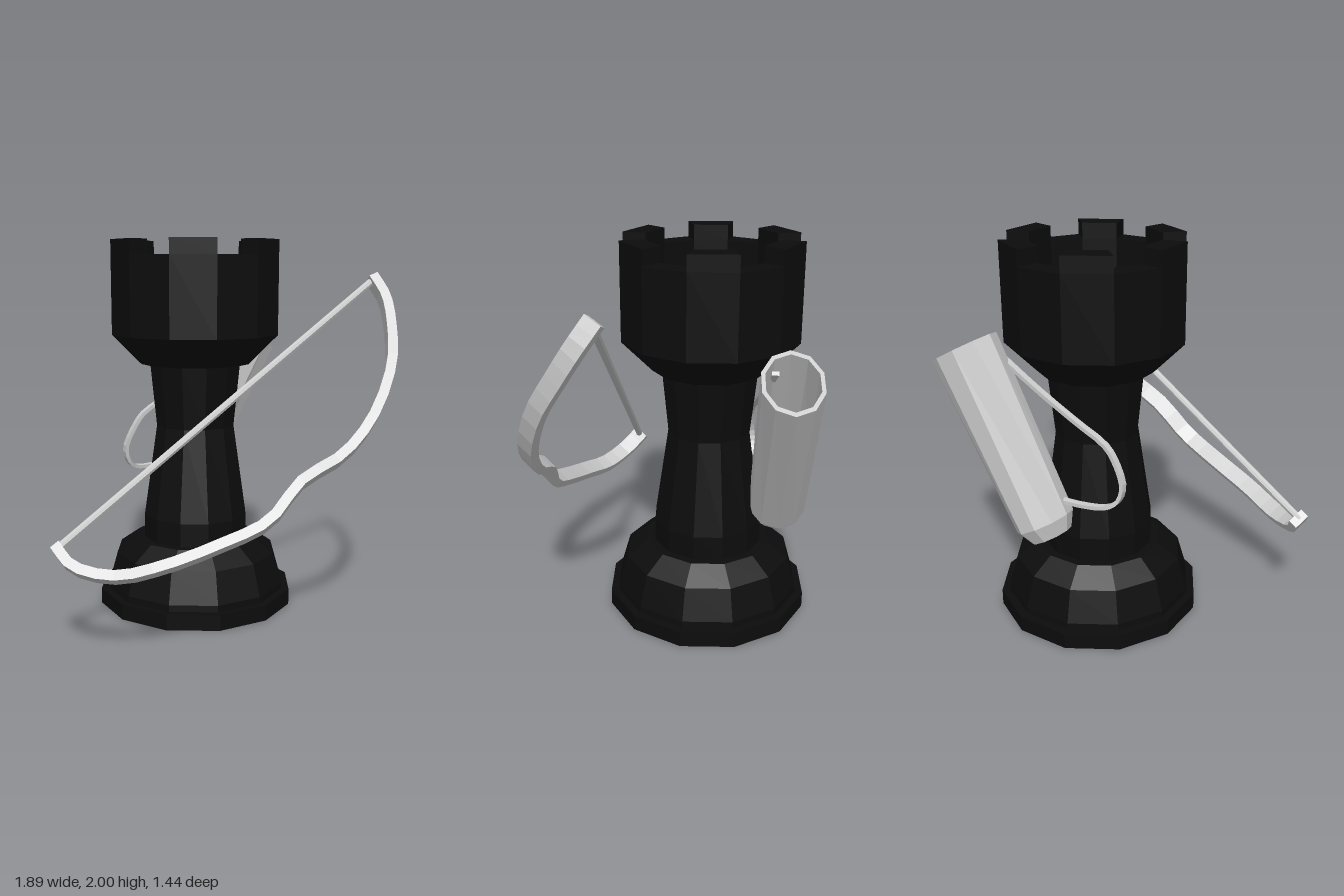
import * as THREE from 'three';

const V = (x, y, z) => new THREE.Vector3(x, y, z);

// Sweeps a rectangle along a smooth path; its width stays close to a fixed direction.
function sweepBar(points, steps, widthDir, width, thickness) {
  const curve = new THREE.CatmullRomCurve3(points.map(p => V(...p)));
  const pos = [], index = [];
  for (let i = 0; i <= steps; i++) {
    const c = curve.getPoint(i / steps), t = curve.getTangent(i / steps);
    const n = widthDir.clone().addScaledVector(t, -widthDir.dot(t)).normalize();
    const s = t.clone().cross(n);
    for (const [a, b] of [[1, 1], [-1, 1], [-1, -1], [1, -1]]) {
      const p = c.clone().addScaledVector(n, a * width / 2).addScaledVector(s, b * thickness / 2);
      pos.push(p.x, p.y, p.z);
    }
  }
  for (let i = 0; i < steps; i++) {
    for (let j = 0; j < 4; j++) {
      const a = i * 4 + j, b = i * 4 + (j + 1) % 4;
      index.push(a, b, b + 4, a, b + 4, a + 4);
    }
  }
  const e = steps * 4;
  index.push(0, 2, 1, 0, 3, 2, e, e + 1, e + 2, e, e + 2, e + 3);
  const g = new THREE.BufferGeometry();
  g.setAttribute('position', new THREE.Float32BufferAttribute(pos, 3));
  g.setIndex(index);
  g.computeVertexNormals();
  return g;
}

export function createModel() {
  const model = new THREE.Group();
  const black = new THREE.MeshStandardMaterial({ color: 0x0c0c0c, flatShading: true });
  const grey = new THREE.MeshStandardMaterial({ color: 0xcccccc, flatShading: true });
  const add = (parent, name, geometry, material) => {
    const m = new THREE.Mesh(geometry, material);
    m.name = name;
    parent.add(m);
    return m;
  };

  // Twelve-sided rook: radii are measured to the flats
  const rook = new THREE.Group();
  rook.name = 'rook';
  rook.position.set(0.07, 0, -0.195);
  model.add(rook);
  const half = Math.PI / 12, toCorner = 1 / Math.cos(half);
  const outer = 0.4425, inner = 0.327, ledge = 1.92;
  const profile = [
    [0, 0], [0.5225, 0], [0.5225, 0.085], [0.482, 0.085], [0.48, 0.12], [0.433, 0.29],
    [0.323, 0.37], [0.281, 0.37], [0.281, 0.5], [0.21, 1.0], [0.243, 1.34], [0.29, 1.34],
    [outer, 1.5], [outer, ledge], [inner, ledge], [inner, 1.75], [0, 1.75],
  ].map(([r, y]) => new THREE.Vector2(r * toCorner, y));
  add(rook, 'rookBody', new THREE.LatheGeometry(profile, 12, half), black);

  // Six battlements, each one wedge-shaped segment of the rim
  const w = Math.tan(half);
  const wedge = new THREE.Shape([
    new THREE.Vector2(inner, -inner * w), new THREE.Vector2(outer, -outer * w),
    new THREE.Vector2(outer, outer * w), new THREE.Vector2(inner, inner * w),
  ]);
  const merlon = new THREE.ExtrudeGeometry(wedge, { depth: 2 - ledge, bevelEnabled: false });
  merlon.rotateX(-Math.PI / 2);
  for (let i = 0; i < 6; i++) {
    const m = add(rook, 'battlement', merlon, black);
    m.position.y = ledge;
    m.rotation.y = i * Math.PI / 3;
  }

  // Bow limb, a slightly wavy flat bar
  const bow = new THREE.Group();
  bow.name = 'bow';
  model.add(bow);
  const limb = [
    [-0.91, 0.56, 0.22], [-0.86, 0.475, 0.31], [-0.7, 0.435, 0.43], [-0.5, 0.48, 0.53],
    [-0.22, 0.57, 0.61], [0, 0.66, 0.66], [0.19, 0.83, 0.65], [0.43, 0.945, 0.67],
    [0.62, 1.12, 0.655], [0.79, 1.36, 0.575], [0.87, 1.54, 0.47], [0.905, 1.69, 0.375],
    [0.88, 1.8, 0.295],
  ];
  add(bow, 'bowLimb', sweepBar(limb, 30, V(-0.41, 0.54, 0.73), 0.09, 0.05), grey);

  // Bow string
  const from = V(-0.91, 0.55, 0.235), to = V(0.88, 1.79, 0.31);
  const dir = to.clone().sub(from);
  const string = add(bow, 'bowString', new THREE.CylinderGeometry(0.02, 0.02, dir.length(), 8), grey);
  string.position.copy(from).add(to).multiplyScalar(0.5);
  string.quaternion.setFromUnitVectors(V(0, 1, 0), dir.normalize());

  // Hollow oval quiver, narrower towards its chamfered foot
  const length = 1.05;
  const shell = [
    [0, 0], [0.72, 0], [1, 0.08], [1, length], [0.87, length], [0.87, 0.1], [0, 0.1],
  ].map(([r, y]) => new THREE.Vector2(r, y));
  const quiverShape = new THREE.LatheGeometry(shell, 10, Math.PI / 2);
  const p = quiverShape.attributes.position;
  for (let i = 0; i < p.count; i++) {
    p.setX(i, p.getX(i) * (0.155 + 0.045 * p.getY(i) / length));
    p.setZ(i, p.getZ(i) * 0.15);
  }
  quiverShape.computeVertexNormals();
  const quiver = add(model, 'quiver', quiverShape, grey);
  quiver.position.set(0.11, 0.53, -0.56);
  quiver.rotation.z = -0.506;

  // Strap looping from the quiver mouth around the shaft to the quiver foot
  const strap = [
    [0.5, 1.45, -0.49], [0.25, 1.27, -0.46], [0.02, 1.13, -0.44], [-0.14, 1.04, -0.43],
    [-0.2, 0.96, -0.43], [-0.245, 0.85, -0.44], [-0.225, 0.77, -0.45], [-0.17, 0.73, -0.47],
    [-0.05, 0.72, -0.5], [0.08, 0.73, -0.53],
  ];
  add(model, 'quiverStrap', sweepBar(strap, 24, V(0, 0, 1), 0.035, 0.02), grey);

  return model;
}
